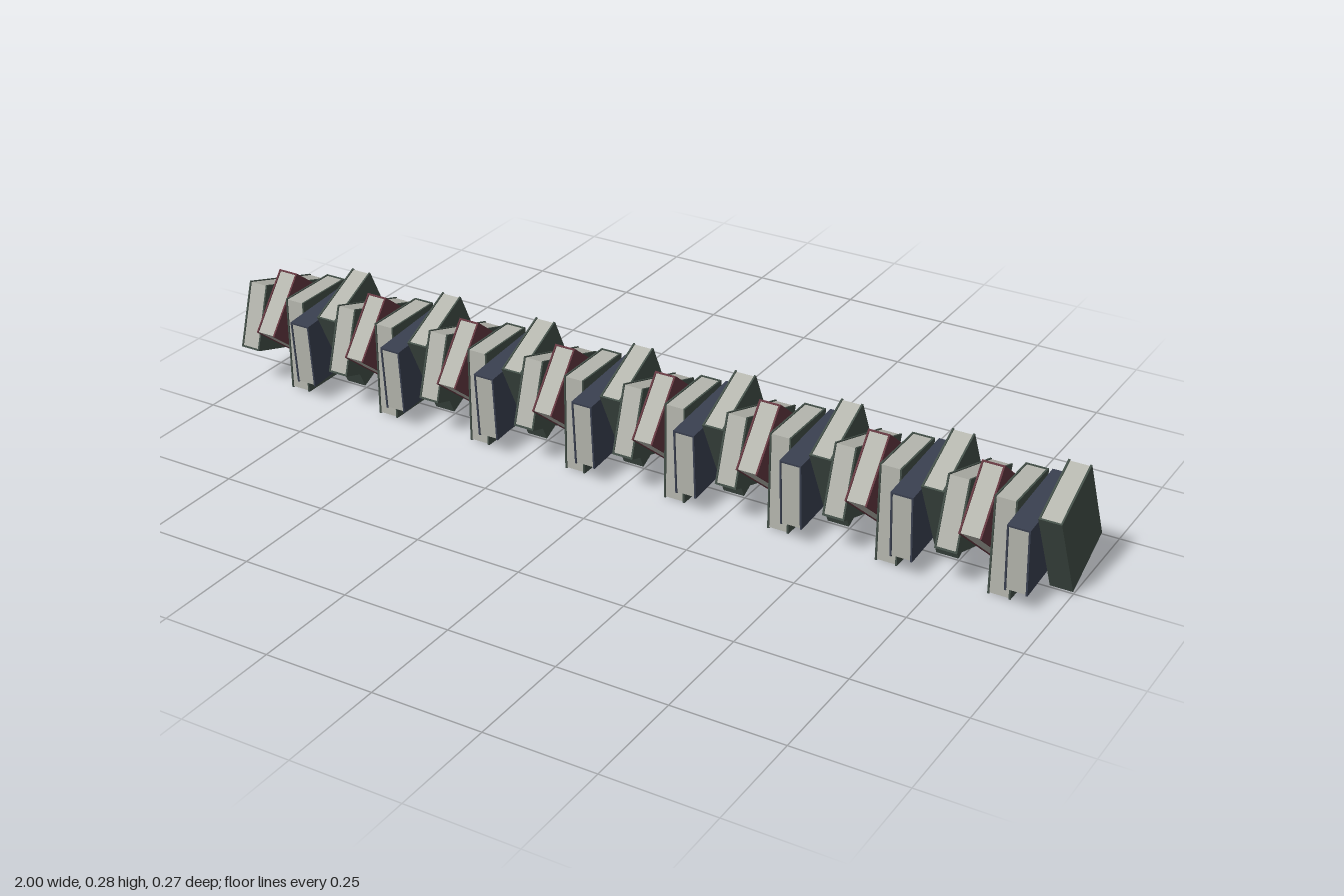
import * as THREE from 'three';

const green = new THREE.MeshStandardMaterial({ name: 'dark green cover', color: 0x424e47 });
const maroon = new THREE.MeshStandardMaterial({ name: 'maroon cover', color: 0x62363f });
const blue = new THREE.MeshStandardMaterial({ name: 'navy cover', color: 0x393f4f });
const paper = new THREE.MeshStandardMaterial({ name: 'grey paper', color: 0xb4b5ad });

const THICK = 0.05, TALL = 0.226, WIDE = 0.155, BOARD = 0.004, INSET = 0.002;

// Repeating run of five books: tilt about x in degrees, centre y and z
const pattern = [
  { cover: green, tilt: 72.5, y: 0.140, z: 0.003 },
  { cover: maroon, tilt: -128.9, y: 0.139, z: 0 },
  { cover: green, tilt: 180, y: 0.113, z: 0.008 },
  { cover: blue, tilt: -85.9, y: 0.130, z: 0.017 },
  { cover: green, tilt: 25.7, y: 0.142, z: -0.017 },
];

// Shared geometries
const boardGeo = new THREE.BoxGeometry(BOARD, TALL, WIDE);
const spineGeo = new THREE.BoxGeometry(THICK - 2 * BOARD, TALL, BOARD);
const pagesGeo = new THREE.BoxGeometry(THICK - 2 * BOARD, TALL - 2 * INSET, WIDE - BOARD - INSET);

function add(parent, name, geo, mat, x, z) {
  const mesh = new THREE.Mesh(geo, mat);
  mesh.name = name;
  mesh.position.set(x, 0, z);
  parent.add(mesh);
}

// One book standing upright with its spine towards +z
function makeBook(cover) {
  const book = new THREE.Group();
  for (const side of [-1, 1]) {
    add(book, side > 0 ? 'leftCover' : 'rightCover', boardGeo, cover, side * (THICK - BOARD) / 2, 0);
  }
  add(book, 'spine', spineGeo, cover, 0, (WIDE - BOARD) / 2);
  add(book, 'pages', pagesGeo, paper, 0, (INSET - BOARD) / 2);
  return book;
}

export function createModel() {
  const row = new THREE.Group();
  row.name = 'bookRow';
  const count = 40;
  for (let i = 0; i < count; i++) {
    const p = pattern[i % pattern.length];
    const book = makeBook(p.cover);
    book.name = `book${i + 1}`;
    book.position.set((i + 0.5 - count / 2) * THICK, p.y, p.z);
    book.rotation.x = THREE.MathUtils.degToRad(p.tilt);
    row.add(book);
  }
  return row;
}
